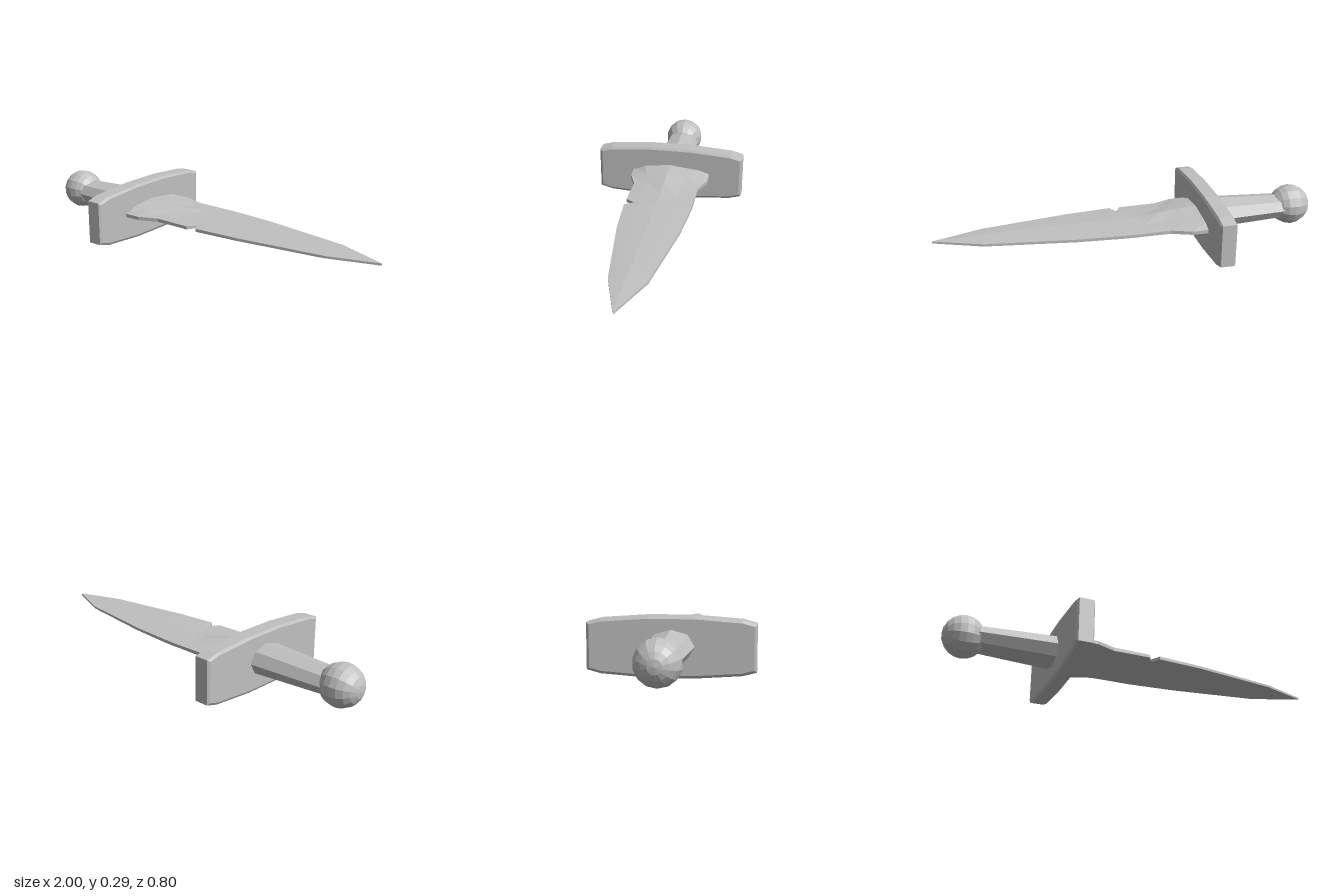
import * as THREE from 'three';

const MID = 0.15; // height of the long axis

export function createModel() {
  const dagger = new THREE.Group();
  dagger.name = 'dagger';
  const steel = new THREE.MeshStandardMaterial({ color: 0xc0c0c0, flatShading: true });
  steel.name = 'steel grey';

  const add = (name, geometry) => {
    const mesh = new THREE.Mesh(geometry, steel);
    mesh.name = name;
    dagger.add(mesh);
    return mesh;
  };

  // Pommel ball
  add('pommel', new THREE.SphereGeometry(0.106, 14, 10).rotateZ(Math.PI / 2))
    .position.set(-0.894, 0.157, 0);

  // Eight-sided oval grip, widening towards the guard
  const grip = new THREE.CylinderGeometry(0.114, 0.088, 0.42, 8)
    .rotateZ(-Math.PI / 2)
    .scale(1, 0.7, 1);
  add('grip', grip).position.set(-0.63, 0.155, 0);

  // Chamfered guard plate: one quarter outline mirrored to all four corners
  const inset = 0.013;
  const quarter = [[0.388, 0.102], [0.332, 0.117], [0.11, 0.133]];
  const back = [...quarter].reverse();
  const outline = [
    ...quarter,
    ...back.map(([u, v]) => [-u, v]),
    ...quarter.map(([u, v]) => [-u, -v]),
    ...back.map(([u, v]) => [u, -v]),
  ].map(([u, v]) => new THREE.Vector2(u, v));
  const guard = new THREE.ExtrudeGeometry(new THREE.Shape(outline), {
    depth: 0.072, bevelEnabled: true, bevelSegments: 1, bevelSize: inset, bevelThickness: 0.008,
  }).translate(0, 0, -0.036).rotateY(Math.PI / 2);
  add('guard', guard).position.set(-0.408, MID, 0);

  // Blade, lofted along x:
  // [x, back z, front z, shoulder z, axis y, ridge, shoulder, edge half heights]
  const sections = [
    [-0.40, -0.22, 0.208, 0.15, 0.150, 0.051, 0.035, 0.009],
    [-0.28, -0.22, 0.205, 0.12, 0.150, 0.043, 0.026, 0.009],
    [-0.18, -0.184, 0.166, 0.09, 0.150, 0.033, 0.017, 0.009],
    [-0.06, -0.184, 0.166, 0.09, 0.149, 0.019, 0.014, 0.008],
    [0.01, -0.184, 0.166, 0.09, 0.148, 0.017, 0.013, 0.008],
    [0.04, -0.183, 0.118, 0.09, 0.148, 0.017, 0.013, 0.008],
    [0.068, -0.182, 0.166, 0.09, 0.148, 0.017, 0.013, 0.008],
    [0.30, -0.165, 0.148, 0.08, 0.146, 0.016, 0.012, 0.007],
    [0.75, -0.099, 0.083, 0.045, 0.141, 0.013, 0.010, 0.006],
    [1.0, -0.001, 0.001, 0, 0.138, 0.005, 0.005, 0.005],
  ];
  const positions = [];
  for (const [x, zb, zf, zs, y, ridge, shoulder, edge] of sections) {
    const upper = [[zf, edge], [zs, shoulder], [0, ridge], [-zs, shoulder], [zb, edge]];
    const lower = [...upper].reverse().map(([z, h]) => [z, -h]);
    for (const [z, h] of [...upper, ...lower]) positions.push(x, y + h, z);
  }
  const n = 10;
  const index = [];
  for (let i = 0; i < sections.length - 1; i++) {
    for (let j = 0; j < n; j++) {
      const a = i * n + j, d = i * n + (j + 1) % n;
      index.push(a, a + n, d + n, a, d + n, d);
    }
  }
  const blade = new THREE.BufferGeometry();
  blade.setAttribute('position', new THREE.Float32BufferAttribute(positions, 3));
  blade.setIndex(index);
  const flatBlade = blade.toNonIndexed();
  flatBlade.computeVertexNormals();
  add('blade', flatBlade);

  return dagger;
}
